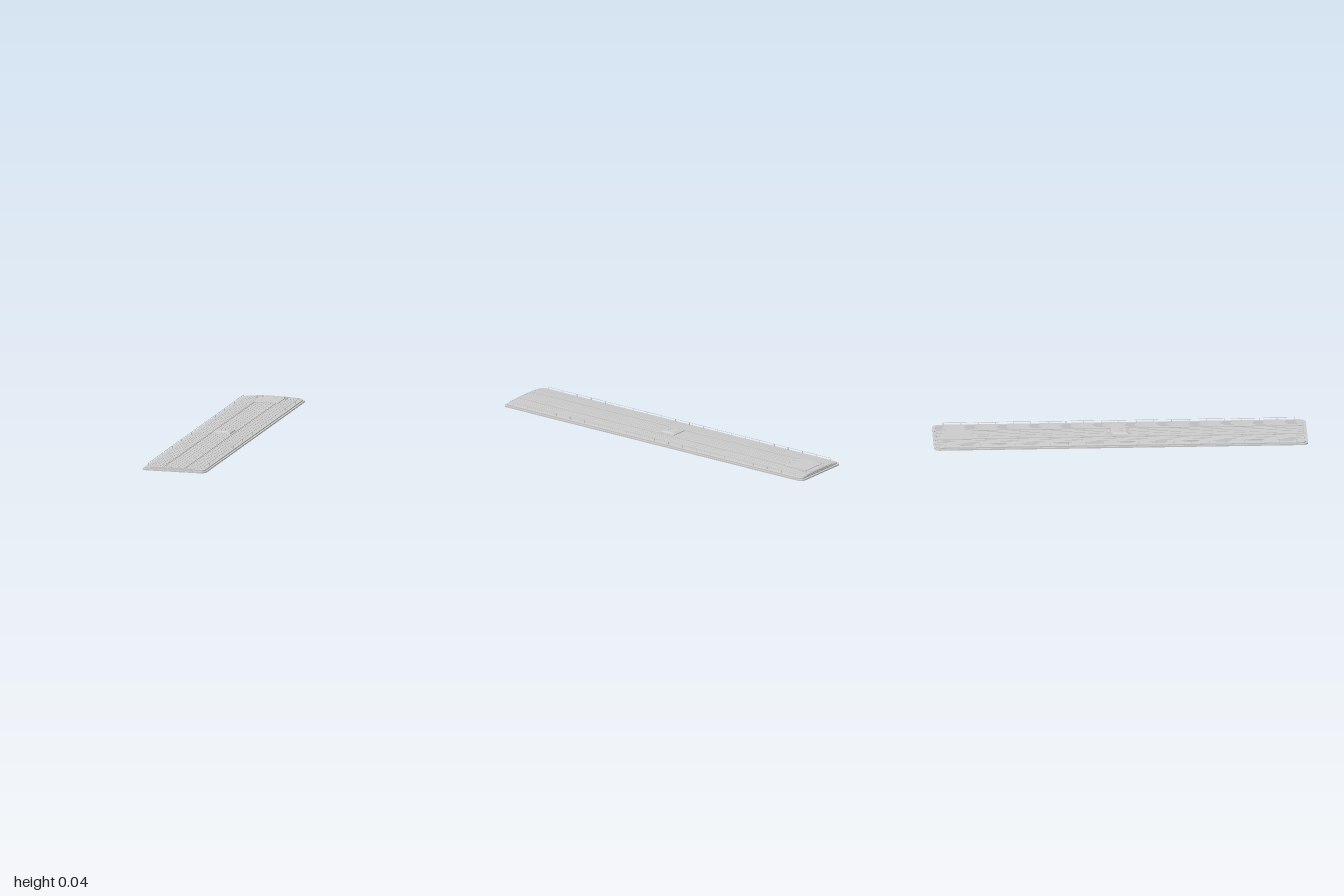
import * as THREE from 'three';
import { toCreasedNormals } from 'three/addons/utils/BufferGeometryUtils.js';

const grey = new THREE.MeshStandardMaterial({ color: 0xcccccc, side: THREE.DoubleSide });
const HALF = 0.164, END = 0.988, CORNER = 0.025;
const crown = (x) => 0.021 - 0.008 * (x / HALF) ** 2;

function roundedRect(Type, hw, hl, r) {
  const s = new Type();
  s.moveTo(-hw + r, -hl);
  s.lineTo(hw - r, -hl);
  s.absarc(hw - r, -hl + r, r, -Math.PI / 2, 0);
  s.absarc(hw - r, hl - r, r, 0, Math.PI / 2);
  s.absarc(-hw + r, hl - r, r, Math.PI / 2, Math.PI);
  s.absarc(-hw + r, -hl + r, r, Math.PI, Math.PI * 1.5);
  return s;
}

// Rounded plate lying flat, with its underside at y
function plate(hw, hl, r, y, h, hole) {
  const s = roundedRect(THREE.Shape, hw, hl, r);
  if (hole) s.holes.push(roundedRect(THREE.Path, ...hole));
  const g = new THREE.ExtrudeGeometry(s, { depth: h, bevelEnabled: false, curveSegments: 6 });
  return g.rotateX(-Math.PI / 2).translate(0, y, 0);
}

// Arched shell lofted along z, narrowing round the plan corners
function archedRoof() {
  const stations = [];
  for (let i = 0; i <= 6; i++) {
    const a = (i / 6) * Math.PI / 2;
    stations.push([-END + CORNER * (1 - Math.cos(a)), HALF - CORNER * (1 - Math.sin(a))]);
  }
  stations.push(...stations.map(([z, w]) => [-z, w]).reverse());
  const N = 24, pos = [], idx = [];
  for (const [z, w] of stations) {
    pos.push(-w, 0.005, z);
    for (let j = 0; j <= N; j++) {
      const x = w * (2 * j / N - 1);
      pos.push(x, crown(x), z);
    }
    pos.push(w, 0.005, z);
  }
  const M = N + 3, last = (stations.length - 1) * M;
  for (let s = 0; s < stations.length - 1; s++) {
    for (let j = 0; j < M; j++) {
      const k = (j + 1) % M;
      const a = s * M + j, b = s * M + k, c = a + M, d = b + M;
      idx.push(a, c, b, b, c, d);
    }
  }
  for (let j = 1; j < M - 1; j++) {
    idx.push(0, j, j + 1);
    idx.push(last, last + j + 1, last + j);
  }
  const g = new THREE.BufferGeometry();
  g.setAttribute('position', new THREE.Float32BufferAttribute(pos, 3));
  g.setIndex(idx);
  return toCreasedNormals(g, 0.5);
}

// Square block with sloping sides
function taperedBlock(bottom, top, y, h) {
  const g = new THREE.CylinderGeometry(top * Math.SQRT2, bottom * Math.SQRT2, h, 4, 1).rotateY(Math.PI / 4);
  return toCreasedNormals(g, 0.3).translate(0, y + h / 2, 0);
}

export function createModel() {
  const model = new THREE.Group();
  const add = (name, geo, parent = model) => {
    const m = new THREE.Mesh(geo, grey);
    m.name = name;
    parent.add(m);
    return m;
  };
  const group = (name) => {
    const g = new THREE.Group();
    g.name = name;
    model.add(g);
    return g;
  };
  const box = (name, w, h, d, x, y, z, parent) =>
    add(name, new THREE.BoxGeometry(w, h, d).translate(x, y, z), parent);

  // Roof body: hollow lower flange, stepped sill, arched deck
  add('flange', plate(0.176, 1, 0.03, 0, 0.007, [0.156, 0.98, 0.015]));
  add('sill', plate(0.166, 0.99, 0.027, 0.005, 0.008));
  add('archedDeck', archedRoof());

  // Fine lengthwise ribs following the arch
  const ribs = group('ribs');
  for (let i = -8; i <= 8; i++) {
    const x = i * 0.0175;
    const len = 2 * (END - (Math.abs(i) === 8 ? 0.01 : 0.004));
    box('rib', 0.003, 0.0016, len, x, crown(x) + 0.0002, 0, ribs)
      .geometry.computeBoundingBox();
  }

  const conduits = group('conduits');
  const rails = group('sideRails');
  for (const side of [-1, 1]) {
    // Conduits along the deck and short rods beside the rear panel
    box('conduit', 0.006, 0.004, 1.965, side * 0.06, crown(0.06) + 0.001, 0, conduits);
    box('shortRod', 0.004, 0.004, 0.05, side * 0.083, crown(0.083) + 0.002, -0.935, conduits);

    // Thin gutter rail on evenly spaced posts
    for (let i = 0; i < 21; i++) {
      box('railPost', 0.002, 0.016, 0.003, side * 0.156, 0.02, -0.94 + i * 0.094, rails);
    }
    box('rail', 0.0016, 0.0016, 1.884, side * 0.156, 0.0275, 0, rails);

    // Drip strips across the ends
    const path = new THREE.CatmullRomCurve3([-0.135, -0.07, 0, 0.07, 0.135].map(
      (x) => new THREE.Vector3(x, crown(x) + 0.0005, side * 0.982)));
    add('endStrip', new THREE.TubeGeometry(path, 16, 0.0014, 6));
  }

  // Rear access panel with a raised border
  const panel = group('rearPanel');
  box('panelPlate', 0.144, 0.005, 0.148, 0, 0.0205, -0.873, panel);
  add('panelBorder', plate(0.074, 0.075, 0.004, 0.0175, 0.006, [0.07, 0.071, 0.003]), panel)
    .position.z = -0.873;

  // Central hatch: base, sloping lid, cap and lifting handle
  const hatch = group('hatch');
  add('hatchBase', taperedBlock(0.05, 0.048, 0.016, 0.01), hatch);
  add('hatchLid', taperedBlock(0.046, 0.037, 0.026, 0.004), hatch);
  add('hatchCap', taperedBlock(0.034, 0.032, 0.03, 0.0015), hatch);
  for (const side of [-1, 1]) {
    box('handleLeg', 0.003, 0.006, 0.003, side * 0.0095, 0.0342, 0.015, hatch);
    box('handleArm', 0.003, 0.002, 0.02, side * 0.0095, 0.0364, 0.006, hatch);
  }
  box('handleGrip', 0.022, 0.002, 0.003, 0, 0.0364, 0.015, hatch);
  return model;
}
